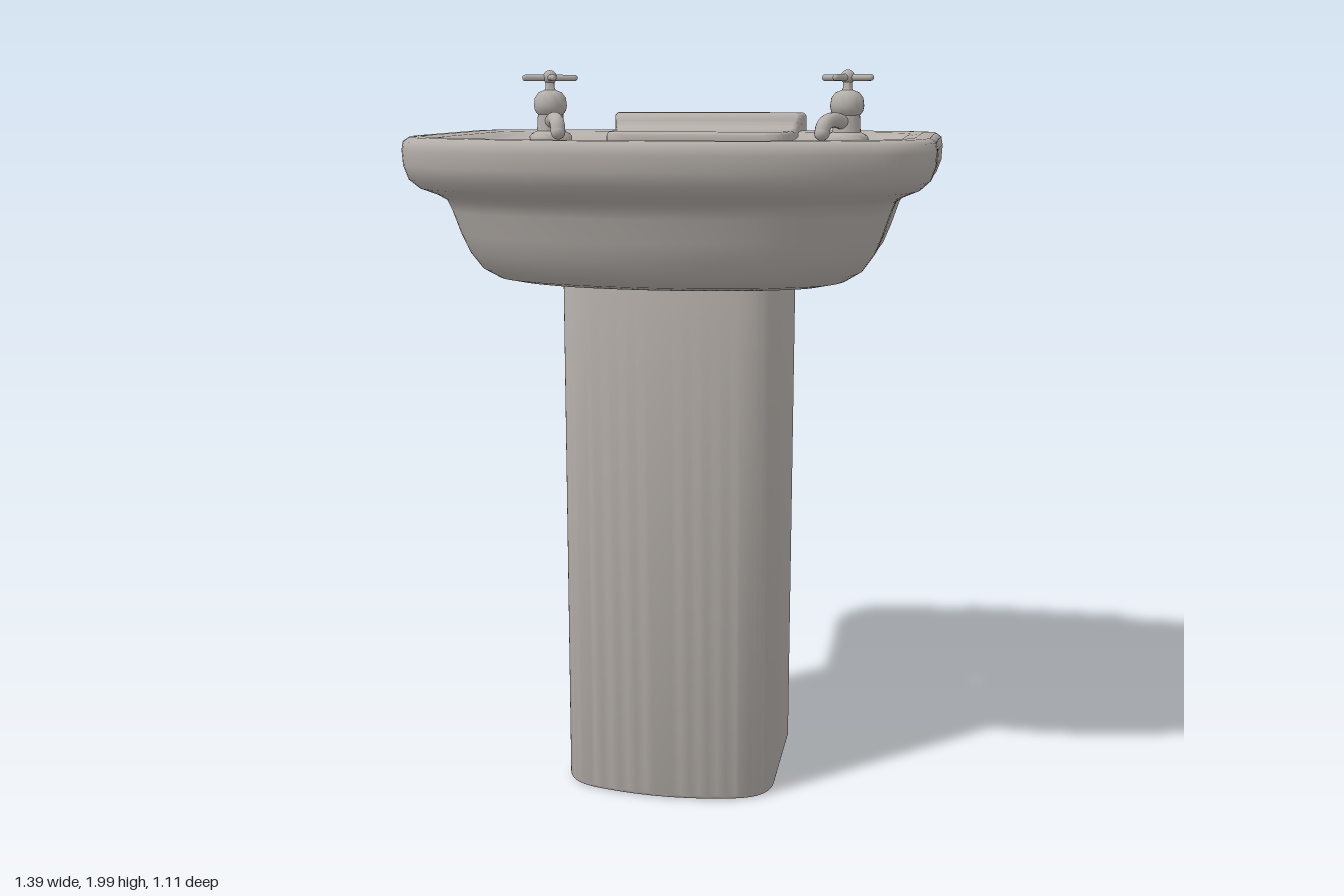
import * as THREE from 'three';
import { toCreasedNormals } from 'three/addons/utils/BufferGeometryUtils.js';

const ceramic = new THREE.MeshStandardMaterial({ color: 0xb5afaa });
ceramic.name = 'warm grey ceramic';

function add(parent, name, geometry, x = 0, y = 0, z = 0) {
  const mesh = new THREE.Mesh(geometry, ceramic);
  mesh.name = name;
  mesh.position.set(x, y, z);
  parent.add(mesh);
  return mesh;
}

// Extrude with a soft bevel that stays inside the drawn outline
function extrude(shape, length, bevel) {
  return new THREE.ExtrudeGeometry(shape, {
    depth: length - 2 * bevel, bevelThickness: bevel, bevelSize: bevel,
    bevelOffset: -bevel, bevelSegments: 4, curveSegments: 16,
  }).translate(0, 0, bevel);
}

// Extrude a plan drawn in x and z downwards from a given top height
function plan(shape, top, height, bevel) {
  return toCreasedNormals(extrude(shape, height, bevel).rotateX(Math.PI / 2).translate(0, top, 0), 0.6);
}

// D-shaped outline: half width 1, back at 0, front at 1
function basinOutline() {
  const half = [[0, 0], [0.35, 0], [0.72, 0.005], [0.91, 0.034], [0.98, 0.09], [1, 0.13], [1, 0.35], [1, 0.55],
    [0.998, 0.66], [0.98, 0.735], [0.94, 0.80], [0.87, 0.855], [0.75, 0.902], [0.58, 0.948], [0.4, 0.977], [0.2, 0.994], [0, 1]];
  const other = half.slice(1, -1).reverse().map(([u, v]) => [-u, v]);
  const points = [...half, ...other].map(([u, v]) => new THREE.Vector3(u, 0, v));
  return new THREE.CatmullRomCurve3(points, true, 'centripetal').getPoints(96).slice(0, 96);
}

// Loft the basin through rings, from the drain hole below, over the rim and back to the hole
function basinGeometry() {
  const outline = basinOutline();
  const hole = 0.048;
  // half width, back z, front z, height
  const rings = [
    [hole, 0, 0, 1.435], [0.3, -0.27, 0.2, 1.436], [0.42, -0.37, 0.29, 1.44], [0.47, -0.41, 0.34, 1.452],
    [0.51, -0.43, 0.375, 1.477], [0.54, -0.44, 0.4, 1.52], [0.56, -0.45, 0.42, 1.57], [0.58, -0.46, 0.435, 1.63],
    [0.592, -0.47, 0.45, 1.66], [0.615, -0.49, 0.475, 1.675], [0.655, -0.52, 0.515, 1.692], [0.68, -0.54, 0.54, 1.715],
    [0.692, -0.553, 0.552, 1.75], [0.694, -0.556, 0.556, 1.79], [0.69, -0.554, 0.553, 1.812], [0.675, -0.545, 0.54, 1.823],
    [0.64, -0.515, 0.51, 1.824], [0.605, -0.48, 0.48, 1.82], [0.585, -0.46, 0.462, 1.807], [0.565, -0.44, 0.445, 1.8],
    [0.51, -0.28, 0.41, 1.798], [0.485, -0.25, 0.385, 1.79], [0.472, -0.24, 0.37, 1.77], [0.455, -0.235, 0.35, 1.7],
    [0.44, -0.225, 0.333, 1.62], [0.425, -0.215, 0.315, 1.55], [0.4, -0.195, 0.29, 1.515], [0.36, -0.165, 0.255, 1.497],
    [0.25, -0.12, 0.17, 1.487], [0.06, 0, 0, 1.48], [hole, 0, 0, 1.47],
  ];
  const n = outline.length;
  const positions = [];
  const index = [];
  for (const [w, back, front, y] of rings) {
    for (const p of outline) {
      if (back === front) {
        const a = Math.atan2((p.z - 0.5) * 1.11, p.x * 0.69);
        positions.push(w * Math.cos(a), y, w * Math.sin(a));
      } else positions.push(w * p.x, y, back + (front - back) * p.z);
    }
  }
  for (let i = 0; i < rings.length; i++) {
    const next = (i + 1) % rings.length;
    for (let j = 0; j < n; j++) {
      const k = (j + 1) % n;
      const a = i * n + j, b = i * n + k, c = next * n + j, d = next * n + k;
      index.push(a, c, b, b, c, d);
    }
  }
  const g = new THREE.BufferGeometry();
  g.setAttribute('position', new THREE.Float32BufferAttribute(positions, 3));
  g.setIndex(index);
  g.computeVertexNormals();
  return g;
}

// Thin bowed shell, open at the back
function pedestalShape() {
  const s = new THREE.Shape();
  s.moveTo(-0.295, -0.27);
  s.lineTo(-0.295, 0.08);
  s.quadraticCurveTo(-0.295, 0.165, -0.2, 0.19);
  s.quadraticCurveTo(0, 0.24, 0.2, 0.19);
  s.quadraticCurveTo(0.295, 0.165, 0.295, 0.08);
  s.lineTo(0.295, -0.27);
  s.lineTo(0.265, -0.27);
  s.lineTo(0.265, 0.07);
  s.quadraticCurveTo(0.265, 0.138, 0.19, 0.16);
  s.quadraticCurveTo(0, 0.21, -0.19, 0.16);
  s.quadraticCurveTo(-0.265, 0.138, -0.265, 0.07);
  s.lineTo(-0.265, -0.27);
  s.closePath();
  return s;
}

function shelfShape() {
  const s = new THREE.Shape();
  s.moveTo(-0.27, -0.5);
  s.lineTo(-0.268, -0.33);
  s.quadraticCurveTo(-0.265, -0.26, -0.2, -0.257);
  s.lineTo(0.2, -0.257);
  s.quadraticCurveTo(0.265, -0.26, 0.268, -0.33);
  s.lineTo(0.27, -0.5);
  s.closePath();
  return s;
}

// Raised back ledge: a side profile run across, flared towards the back
function ledgeGeometry() {
  const s = new THREE.Shape();
  s.moveTo(-0.556, 1.79);
  s.lineTo(-0.556, 1.86);
  s.quadraticCurveTo(-0.555, 1.876, -0.54, 1.876);
  s.lineTo(-0.51, 1.875);
  s.quadraticCurveTo(-0.487, 1.872, -0.478, 1.85);
  s.quadraticCurveTo(-0.468, 1.828, -0.42, 1.825);
  s.lineTo(-0.42, 1.79);
  s.closePath();
  const g = extrude(s, 0.54, 0.014).translate(0, 0, -0.27).rotateY(-Math.PI / 2);
  const p = g.attributes.position;
  for (let i = 0; i < p.count; i++) {
    const flare = THREE.MathUtils.smoothstep(-p.getZ(i), 0.45, 0.55);
    p.setX(i, p.getX(i) * (1 + 0.08 * flare));
  }
  g.computeVertexNormals();
  return toCreasedNormals(g, 0.7);
}

function strainerGeometry() {
  const s = new THREE.Shape().absarc(0, 0, 0.05, 0, Math.PI * 2, false);
  for (let i = 0; i < 6; i++) {
    const a = (i / 6) * Math.PI * 2;
    s.holes.push(new THREE.Path().absarc(0.025 * Math.cos(a), 0.025 * Math.sin(a), 0.01, 0, Math.PI * 2, true));
  }
  return toCreasedNormals(new THREE.ExtrudeGeometry(s, { depth: 0.01, bevelEnabled: false, curveSegments: 16 })
    .rotateX(Math.PI / 2), 0.6);
}

// Pillar tap with a cross handle; the spout points along local +z
function makeTap(name, x, turn) {
  const tap = new THREE.Group();
  tap.name = name;
  tap.position.set(x, 1.797, -0.3);
  tap.rotation.y = turn;
  const profile = [[0, 0], [0.062, 0], [0.062, 0.012], [0.056, 0.02], [0.04, 0.028], [0.037, 0.075], [0.045, 0.085],
    [0.048, 0.1], [0.045, 0.122], [0.034, 0.137], [0.016, 0.144], [0.013, 0.15], [0.013, 0.178], [0, 0.178]];
  const body = new THREE.LatheGeometry(profile.map(([r, y]) => new THREE.Vector2(r, y)), 28);
  add(tap, 'tapBody', toCreasedNormals(body, 0.7));
  const path = new THREE.CatmullRomCurve3([[0.055, 0.02], [0.062, 0.07], [0.06, 0.11], [0.047, 0.138], [0.026, 0.147]]
    .map(([y, z]) => new THREE.Vector3(0, y, z)));
  add(tap, 'spout', new THREE.TubeGeometry(path, 20, 0.021, 14));
  add(tap, 'spoutTip', new THREE.SphereGeometry(0.021, 14, 10), 0, 0.028, 0.147);
  add(tap, 'handleHub', new THREE.SphereGeometry(0.02, 16, 12), 0, 0.18, 0);
  for (let i = 0; i < 4; i++) {
    const a = (i * Math.PI) / 2;
    const arm = add(tap, 'handleArm', new THREE.CapsuleGeometry(0.0095, 0.062, 4, 10),
      0.04 * Math.sin(a), 0.178, 0.04 * Math.cos(a));
    arm.rotation.set(Math.PI / 2, 0, -a);
  }
  return tap;
}

export function createModel() {
  const model = new THREE.Group();
  model.name = 'pedestalBasin';

  add(model, 'pedestal', plan(pedestalShape(), 1.442, 1.437, 0.012));
  add(model, 'basin', basinGeometry());
  add(model, 'soapShelf', plan(shelfShape(), 1.825, 0.05, 0.014));
  add(model, 'backLedge', ledgeGeometry());

  // Waste fitting
  add(model, 'strainer', strainerGeometry(), 0, 1.465, 0);
  add(model, 'drainRing', new THREE.TorusGeometry(0.05, 0.006, 8, 32).rotateX(Math.PI / 2), 0, 1.481, 0);
  add(model, 'drainCollar', new THREE.TorusGeometry(0.05, 0.007, 8, 32).rotateX(Math.PI / 2), 0, 1.432, 0);

  // Overflow slot and chain stay on the rear wall of the bowl
  const slot = add(model, 'overflowRim', new THREE.TorusGeometry(0.03, 0.005, 8, 32), 0, 1.725, -0.236);
  slot.scale.set(2.3, 0.8, 1);
  add(model, 'chainStay', new THREE.CylinderGeometry(0.008, 0.008, 0.03, 12).rotateX(Math.PI / 2), 0.2, 1.735, -0.227);
  add(model, 'chainStayKnob', new THREE.SphereGeometry(0.012, 12, 10), 0.2, 1.735, -0.213);

  model.add(makeTap('rightTap', -0.43, 0.4), makeTap('leftTap', 0.43, -0.4));
  return model;
}
